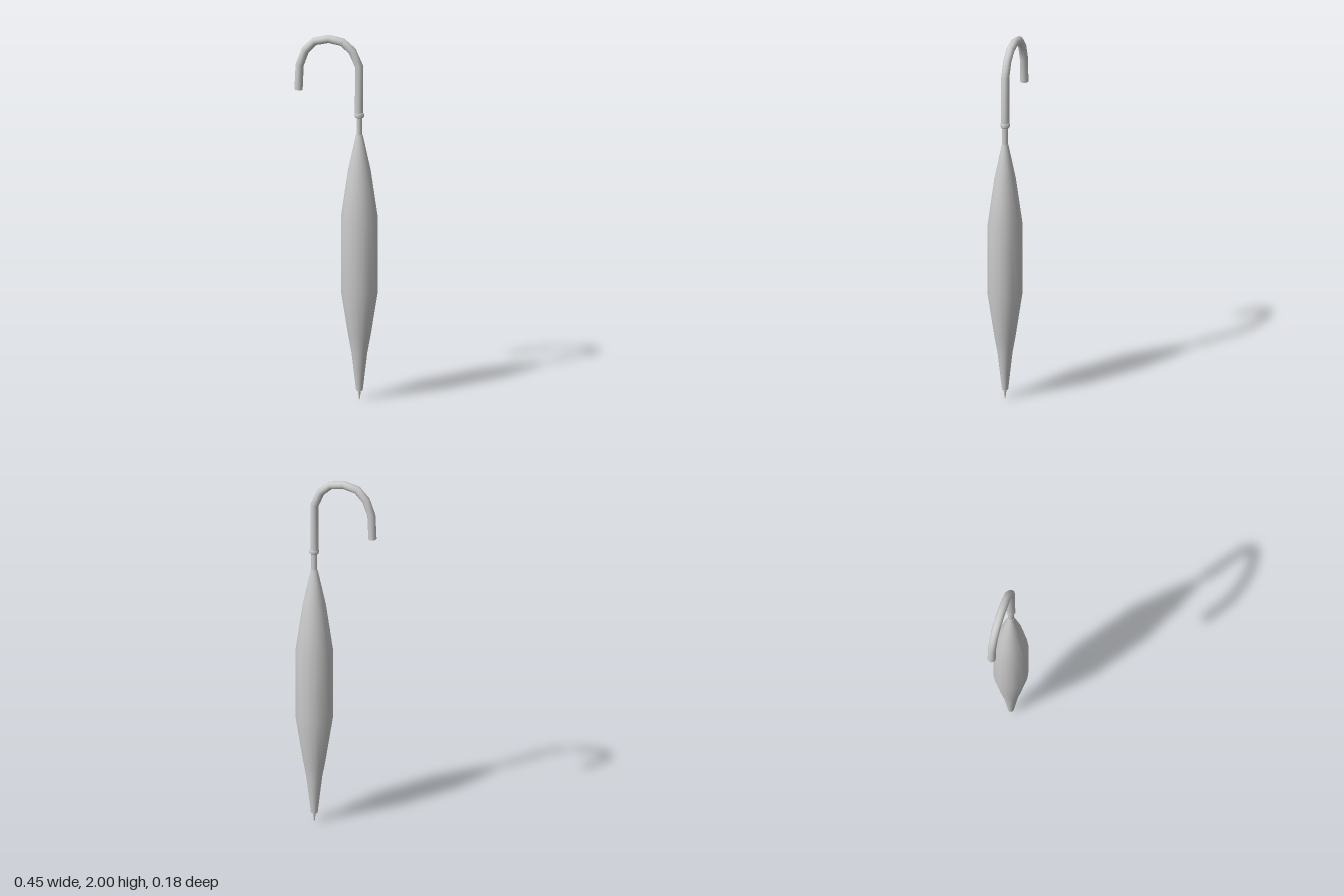
import * as THREE from 'three';

const AXIS_X = 0.122;

// Polyline curve: one tube ring per point, mitred at each bend
class Polyline extends THREE.Curve {
  constructor(points) {
    super();
    this.points = points;
  }
  getPoint(t, target = new THREE.Vector3()) {
    const n = this.points.length - 1;
    const i = Math.min(Math.floor(t * n + 1e-6), n - 1);
    return target.lerpVectors(this.points[i], this.points[i + 1], t * n - i);
  }
  getPointAt(u, target) {
    return this.getPoint(u, target);
  }
  getTangentAt(u, target = new THREE.Vector3()) {
    const p = this.points, n = p.length - 1, i = Math.round(u * n);
    target.set(0, 0, 0);
    if (i > 0) target.add(p[i].clone().sub(p[i - 1]).normalize());
    if (i < n) target.add(p[i + 1].clone().sub(p[i]).normalize());
    return target.normalize();
  }
}

export function createModel() {
  const model = new THREE.Group();
  model.name = 'closedUmbrella';
  const material = new THREE.MeshStandardMaterial({ color: 0xcccccc });

  function add(name, geometry, x = AXIS_X, y = 0, z = 0) {
    const mesh = new THREE.Mesh(geometry, material);
    mesh.name = name;
    mesh.position.set(x, y, z);
    model.add(mesh);
    return mesh;
  }
  const lathe = (profile, sides) =>
    new THREE.LatheGeometry(profile.map(([r, y]) => new THREE.Vector2(r, y)), sides);

  // Furled canopy, slightly flattened front to back
  const canopy = add('canopy', lathe([
    [0.018, 0.05], [0.043, 0.26], [0.06, 0.35], [0.1, 0.6],
    [0.1, 1.0], [0.062, 1.26], [0.018, 1.46],
  ], 16));
  canopy.scale.z = 0.92;

  // Flat closing discs of the canopy
  const disc = new THREE.CircleGeometry(0.018, 16);
  add('canopyBottom', disc, AXIS_X, 0.05).rotation.x = Math.PI / 2;
  add('canopyTop', disc, AXIS_X, 1.46).rotation.x = -Math.PI / 2;

  // Pointed ferrule and shaft
  add('tip', new THREE.CylinderGeometry(0.009, 0.002, 0.05, 12), AXIS_X, 0.025);
  add('shaft', new THREE.CylinderGeometry(0.016, 0.016, 0.14, 16), AXIS_X, 1.51);

  // Collar between shaft and handle
  add('collar', lathe([
    [0, 1.555], [0.022, 1.555], [0.025, 1.56], [0.025, 1.575], [0.021, 1.58], [0, 1.58],
  ], 16));

  // Hooked handle
  const path = new Polyline([
    [0.12, 1.565], [0.12, 1.837], [0.084, 1.918], [0.03, 1.964], [-0.045, 1.978],
    [-0.122, 1.96], [-0.172, 1.907], [-0.202, 1.825], [-0.208, 1.69],
  ].map(([x, y]) => new THREE.Vector3(x, y, 0)));
  add('handle', new THREE.TubeGeometry(path, path.points.length - 1, 0.022, 14), 0);
  add('handleEnd', new THREE.CircleGeometry(0.022, 14), -0.208, 1.69).rotation.x = Math.PI / 2;

  return model;
}
